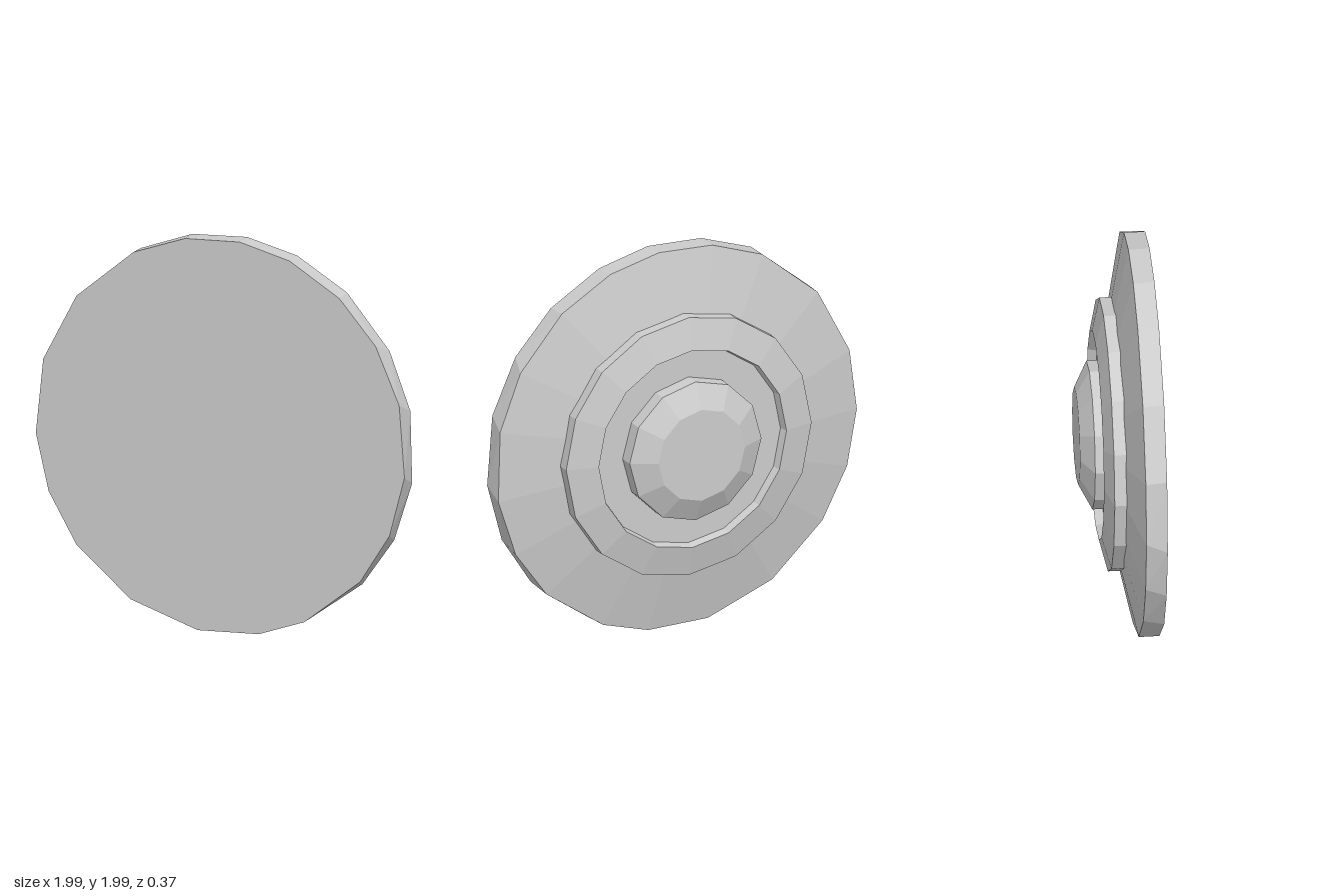
import * as THREE from 'three';

// Uneven facet corners of the big disc, in degrees, counter-clockwise
const rim = [-175, -158, -141, -119, -97, -78, -63, -41, -24, -6, 15, 33, 50, 68, 84, 101, 118, 141, 163];
// The back edge is turned slightly against the front edge
const rimBack = rim.map((a) => (a > 45 ? a + 0.5 : a - 3));
const even = (n, start = 0) => Array.from({ length: n }, (_, i) => start + (i * 360) / n);

// Joins loops { r, z, angles } from front to back with flat facets, with optional end caps
function facetedBody(name, loops, capFront, capBack) {
  const rings = loops.map(({ r, z, angles }) => angles.map((deg) => {
    const a = THREE.MathUtils.degToRad(deg);
    return [r * Math.cos(a), r * Math.sin(a), z];
  }));
  const pos = [];
  const tri = (a, b, c) => pos.push(...a, ...b, ...c);
  const n = rings[0].length;
  for (let i = 0; i < n; i++) {
    const j = (i + 1) % n;
    for (let k = 0; k < rings.length - 1; k++) {
      const a = rings[k], b = rings[k + 1];
      tri(a[i], b[i], b[j]);
      tri(a[i], b[j], a[j]);
    }
    const first = rings[0], last = rings[rings.length - 1];
    if (capFront) tri([0, 0, loops[0].z], first[i], first[j]);
    if (capBack) tri([0, 0, loops[loops.length - 1].z], last[j], last[i]);
  }
  const geometry = new THREE.BufferGeometry();
  geometry.setAttribute('position', new THREE.Float32BufferAttribute(pos, 3));
  geometry.computeVertexNormals();
  const mesh = new THREE.Mesh(geometry, new THREE.MeshStandardMaterial({ color: 0xcccccc, flatShading: true }));
  mesh.name = name;
  mesh.position.y = 1;
  return mesh;
}

export function createModel() {
  const group = new THREE.Group();
  group.name = 'steppedDisc';

  // Big disc: flat front, short wall, shallow slope towards the back
  group.add(facetedBody('baseDisc', [
    { r: 1, z: 0.185, angles: rim },
    { r: 1, z: 0.08, angles: rimBack },
    { r: 0.64, z: 0.001, angles: rimBack },
  ], true, false));

  // Raised ring with a bevelled top and a groove inside it
  const sixteen = even(16);
  group.add(facetedBody('raisedRing', [
    { r: 0.68, z: 0.03, angles: sixteen },
    { r: 0.68, z: -0.05, angles: sixteen },
    { r: 0.52, z: -0.09, angles: sixteen },
    { r: 0.51, z: -0.045, angles: sixteen },
    { r: 0.32, z: -0.045, angles: sixteen },
  ], false, false));

  // Centre boss with a bevelled edge and flat top
  const twelve = even(12);
  group.add(facetedBody('centreBoss', [
    { r: 0.365, z: -0.04, angles: twelve },
    { r: 0.365, z: -0.12, angles: twelve },
    { r: 0.24, z: -0.185, angles: twelve },
  ], false, true));

  return group;
}
